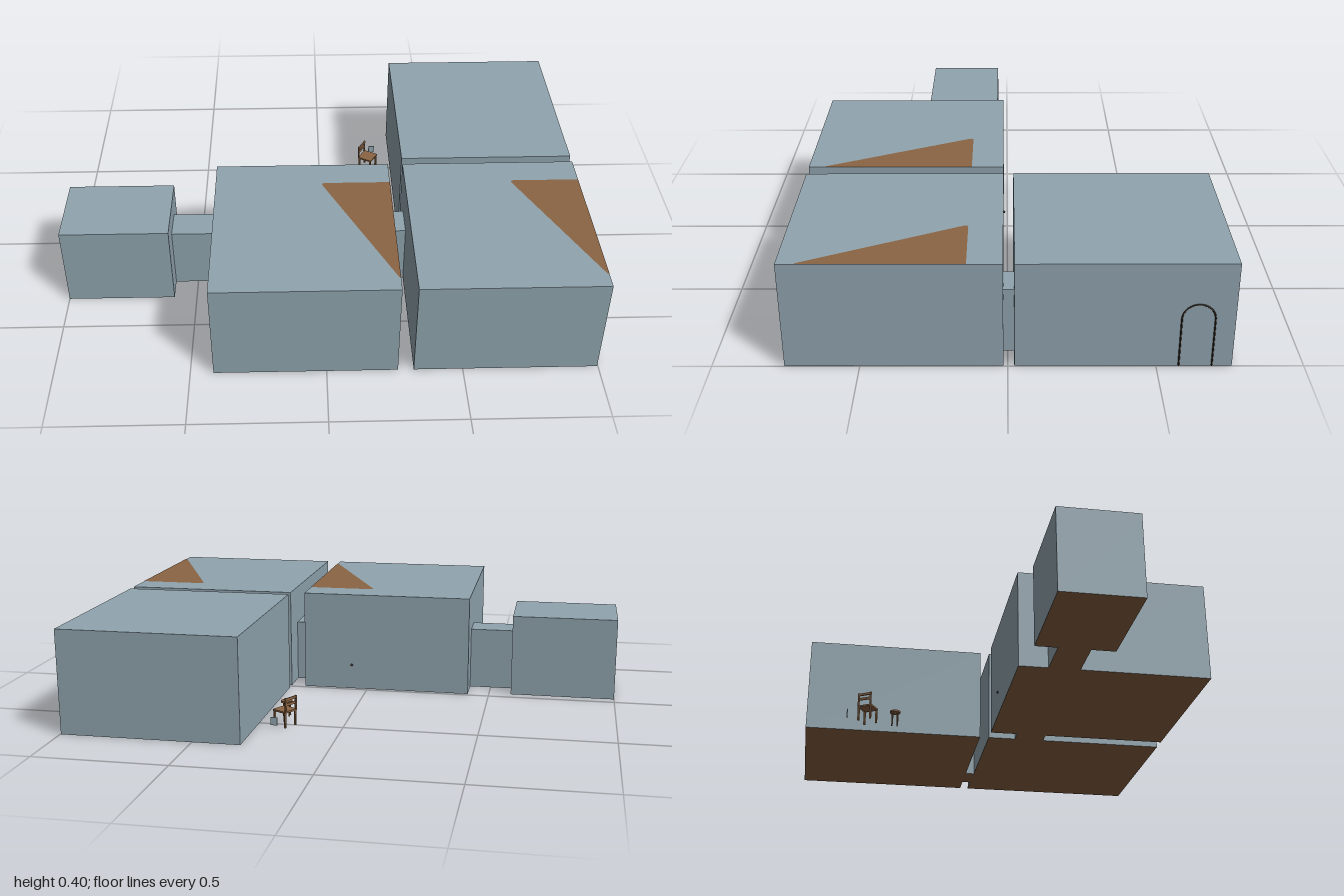
import * as THREE from 'three';

const mat = (name, color) => {
  const m = new THREE.MeshStandardMaterial({ color });
  m.name = name;
  return m;
};

export function createModel() {
  const stone = mat('blue grey wall', 0x90a4ae);
  const wood = mat('brown wood', 0x8b6544);
  const dark = mat('dark trim', 0x33261c);
  const model = new THREE.Group();

  const add = (parent, name, geometry, material, x = 0, y = 0, z = 0) => {
    const mesh = new THREE.Mesh(geometry, material);
    mesh.name = name;
    mesh.position.set(x, y, z);
    parent.add(mesh);
    return mesh;
  };

  // Rooms and passages: grey shells whose underside is the wooden floor
  const shell = [stone, stone, stone, wood, stone, stone];
  const room = (name, x0, x1, z0, z1, h) =>
    add(model, name, new THREE.BoxGeometry(x1 - x0, h, z1 - z0), shell, (x0 + x1) / 2, h / 2, (z0 + z1) / 2);
  room('backRoom', 0.32, 0.997, -0.757, -0.022, 0.395);
  room('frontLeftRoom', 0.32, 0.997, 0.015, 0.755, 0.395);
  room('middleRoom', -0.415, 0.262, 0.015, 0.755, 0.395);
  room('smallRoom', -1, -0.588, 0.042, 0.342, 0.325);
  room('smallRoomPassage', -0.588, -0.415, 0.128, 0.25, 0.245);
  room('middlePassage', 0.262, 0.32, 0.128, 0.25, 0.245);
  room('backPassage', 0.787, 0.908, -0.022, 0.015, 0.245);

  // Wooden triangles lying on two roofs, with a blunt left corner
  for (const x of [0.262, 0.997]) {
    const shape = new THREE.Shape([
      [0, -0.135], [0, -0.69], [-0.006, -0.69], [-0.26, -0.155], [-0.264, -0.142], [-0.258, -0.135],
    ].map(([a, b]) => new THREE.Vector2(a, b)));
    const geometry = new THREE.ShapeGeometry(shape).rotateX(-Math.PI / 2);
    add(model, 'roofPatch', geometry, wood, x, 0.3962, 0);
  }

  // Arched door frame, mostly sunk into the side wall
  const arch = new THREE.CurvePath();
  const points = [new THREE.Vector3(0, 0, 0.056), new THREE.Vector3(0, 0.185, 0.056)];
  for (let i = 1; i <= 16; i++) {
    const a = (i / 16) * Math.PI;
    points.push(new THREE.Vector3(0, 0.185 + 0.056 * Math.sin(a), 0.056 * Math.cos(a)));
  }
  points.push(new THREE.Vector3(0, 0, -0.056));
  for (let i = 1; i < points.length; i++) arch.add(new THREE.LineCurve3(points[i - 1], points[i]));
  add(model, 'archFrame', new THREE.TubeGeometry(arch, 90, 0.003, 6), dark, 0.997, 0, -0.633);

  // Small knob on the back wall of the middle room
  add(model, 'wallKnob', new THREE.SphereGeometry(0.005, 10, 8), dark, 0.065, 0.1, 0.013);

  // Chair, turned, with its backrest on the local -x side
  const chair = new THREE.Group();
  chair.name = 'chair';
  chair.position.set(0.219, 0, -0.507);
  chair.rotation.y = -Math.PI / 6;
  model.add(chair);
  add(chair, 'seat', new THREE.BoxGeometry(0.063, 0.007, 0.063), wood, 0, 0.06, 0);
  for (const x of [-0.027, 0.027])
    for (const z of [-0.027, 0.027])
      add(chair, 'chairLeg', new THREE.BoxGeometry(0.007, 0.057, 0.007), wood, x, 0.0285, z);
  for (const z of [-0.027, 0.027])
    add(chair, 'backPost', new THREE.BoxGeometry(0.006, 0.055, 0.006), wood, -0.031, 0.089, z);
  for (const y of [0.09, 0.11])
    add(chair, 'backRail', new THREE.BoxGeometry(0.005, 0.01, 0.06), wood, -0.031, y, 0);

  // Round stool
  const stool = new THREE.Group();
  stool.name = 'stool';
  stool.position.set(0.24, 0, -0.392);
  model.add(stool);
  add(stool, 'stoolSeat', new THREE.CylinderGeometry(0.022, 0.022, 0.007, 20), wood, 0, 0.057, 0);
  for (let i = 0; i < 4; i++) {
    const a = Math.PI / 4 + (i * Math.PI) / 2;
    add(stool, 'stoolLeg', new THREE.CylinderGeometry(0.003, 0.003, 0.054, 8), wood,
      0.015 * Math.cos(a), 0.027, 0.015 * Math.sin(a));
  }

  // Small upright plate beside the chair
  add(model, 'plate', new THREE.BoxGeometry(0.025, 0.03, 0.004), stone, 0.24, 0.04, -0.59);

  return model;
}
